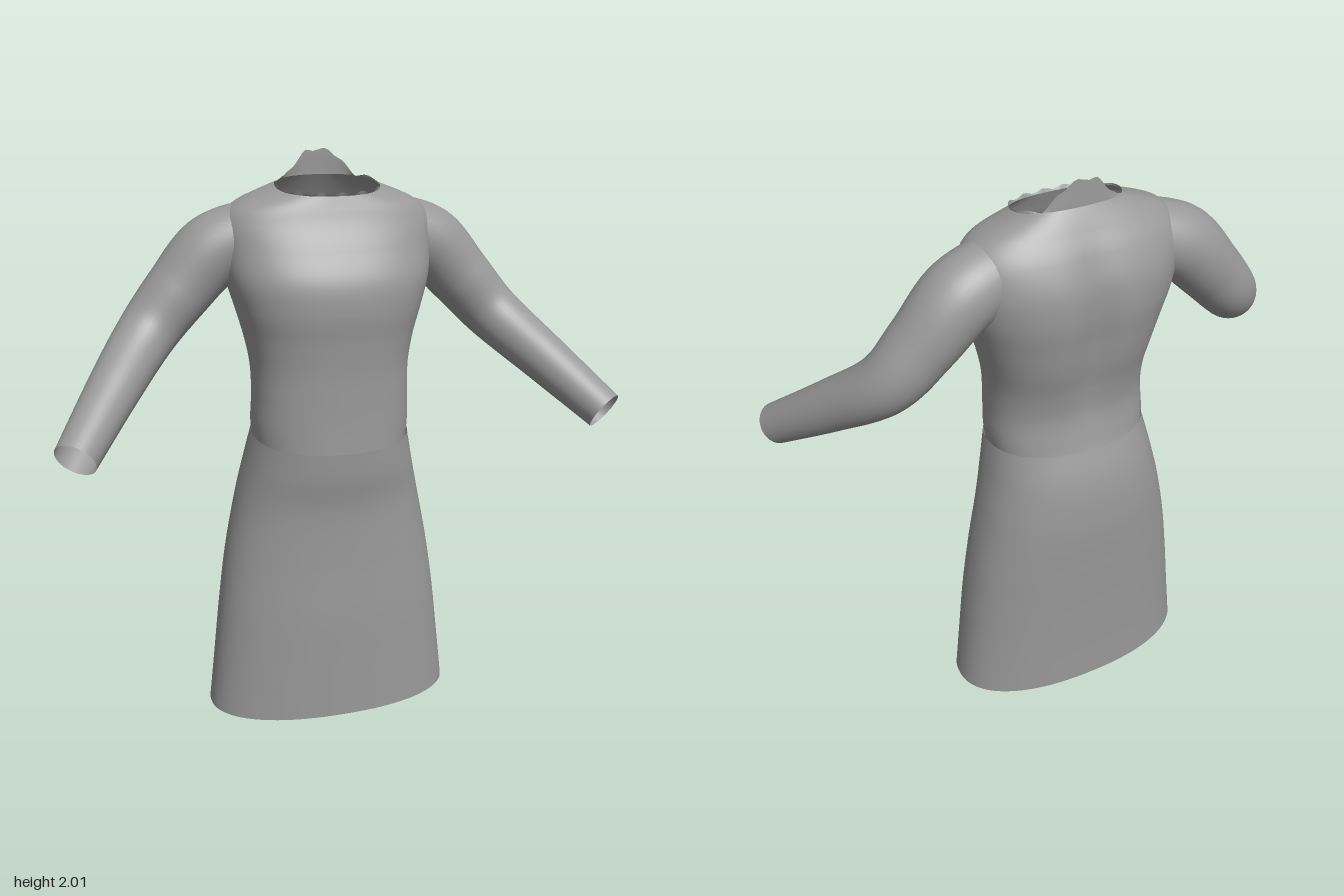
import * as THREE from 'three';
import { ParametricGeometry } from 'three/addons/geometries/ParametricGeometry.js';

const cloth = new THREE.MeshStandardMaterial({ color: 0x999999, side: THREE.DoubleSide });
cloth.name = 'grey cloth';

// Smooth value along a list of rows, column by column
function sample(rows, t, col) {
  const n = rows.length - 1;
  const i = Math.min(Math.floor(t * n), n - 1);
  const f = t * n - i;
  const at = (k) => rows[THREE.MathUtils.clamp(k, 0, n)][col];
  const a = at(i - 1), b = at(i), c = at(i + 1), d = at(i + 2);
  return b + 0.5 * f * (c - a + f * (2 * a - 5 * b + 4 * c - d + f * (3 * (b - c) + d - a)));
}

const power = (v, e) => Math.sign(v) * Math.pow(Math.abs(v), e);

// Open body of rounded sections: [front y, back y, half width, front z, back z]
function loft(name, rows, exponent, adjust) {
  const geometry = new ParametricGeometry((u, v, p) => {
    const a = -u * Math.PI * 2;
    const [yf, yb, w, zf, zb] = [0, 1, 2, 3, 4].map((c) => sample(rows, v, c));
    const s = power(Math.sin(a), 2 / exponent);
    p.set(
      w * power(Math.cos(a), 2 / exponent),
      THREE.MathUtils.lerp(yb, yf, (s + 1) / 2),
      (zf + zb) / 2 + s * (zf - zb) / 2
    );
    if (adjust) adjust(p, s, v);
  }, 96, 60);
  const mesh = new THREE.Mesh(geometry, cloth);
  mesh.name = name;
  return mesh;
}

// Bent sleeve with a tapering round section
function sleeve(name, side) {
  const rows = [
    [0.25, 1.74, -0.10, 0.115],
    [0.385, 1.685, -0.115, 0.122],
    [0.505, 1.56, -0.11, 0.112],
    [0.625, 1.425, -0.075, 0.1],
    [0.76, 1.285, 0.085, 0.086],
    [0.903, 1.132, 0.283, 0.07],
  ];
  const centre = (t) => new THREE.Vector3(...[0, 1, 2].map((c) => sample(rows, t, c)));
  const geometry = new ParametricGeometry((u, v, p) => {
    const e = 0.01;
    const dir = centre(Math.min(v + e, 1)).sub(centre(Math.max(v - e, 0))).normalize();
    const across = new THREE.Vector3(0, 0, 1).addScaledVector(dir, -dir.z).normalize();
    const up = new THREE.Vector3().crossVectors(dir, across);
    const a = u * Math.PI * 2 * side;
    const r = sample(rows, v, 3);
    p.copy(centre(v))
      .addScaledVector(across, Math.cos(a) * r)
      .addScaledVector(up, Math.sin(a) * r);
    p.x *= side;
  }, 36, 48);
  const mesh = new THREE.Mesh(geometry, cloth);
  mesh.name = name;
  return mesh;
}

export function createModel() {
  const model = new THREE.Group();
  model.name = 'dress';

  // Flared skirt, its waist edge higher at the back
  model.add(loft('skirt', [
    [0.0, 0.01, 0.455, 0.155, -0.303],
    [0.2, 0.2, 0.432, 0.155, -0.306],
    [0.4, 0.4, 0.408, 0.155, -0.312],
    [0.6, 0.6, 0.378, 0.15, -0.32],
    [0.8, 0.8, 0.337, 0.152, -0.325],
    [0.93, 0.96, 0.303, 0.172, -0.31],
    [1.025, 1.085, 0.278, 0.18, -0.272],
  ], 2.25));

  // Bodice from waist to neckline, with a shallow groove down the back
  const bodice = [
    [1.0, 1.04, 0.272, 0.158, -0.262],
    [1.1, 1.1, 0.278, 0.155, -0.248],
    [1.2, 1.2, 0.274, 0.155, -0.236],
    [1.3, 1.3, 0.276, 0.157, -0.25],
    [1.4, 1.4, 0.294, 0.165, -0.275],
    [1.5, 1.5, 0.322, 0.176, -0.292],
    [1.6, 1.6, 0.35, 0.168, -0.304],
    [1.7, 1.7, 0.362, 0.125, -0.297],
    [1.78, 1.79, 0.36, 0.085, -0.262],
    [1.83, 1.86, 0.31, 0.065, -0.218],
    [1.87, 1.92, 0.178, 0.05, -0.178],
  ];
  model.add(loft('bodice', bodice, 2.4, (p, s, v) => {
    if (s < 0) p.z += 0.028 * -s * Math.exp(-((p.x / 0.07) ** 2)) * Math.sin(Math.PI * v) ** 2;
  }));

  // Uneven collar edge, standing up in a tab at the nape
  model.add(loft('collar', [
    [1.87, 1.92, 0.178, 0.05, -0.178],
    [1.878, 1.922, 0.178, 0.055, -0.174],
  ], 2.4, (p, s, v) => {
    p.y += v * 0.005 * Math.sin(p.x * 90);
    if (s < 0) p.y += v * 0.08 * THREE.MathUtils.clamp((0.125 - Math.abs(p.x)) / 0.085, 0, 1);
  }));

  model.add(sleeve('leftSleeve', 1), sleeve('rightSleeve', -1));
  return model;
}
